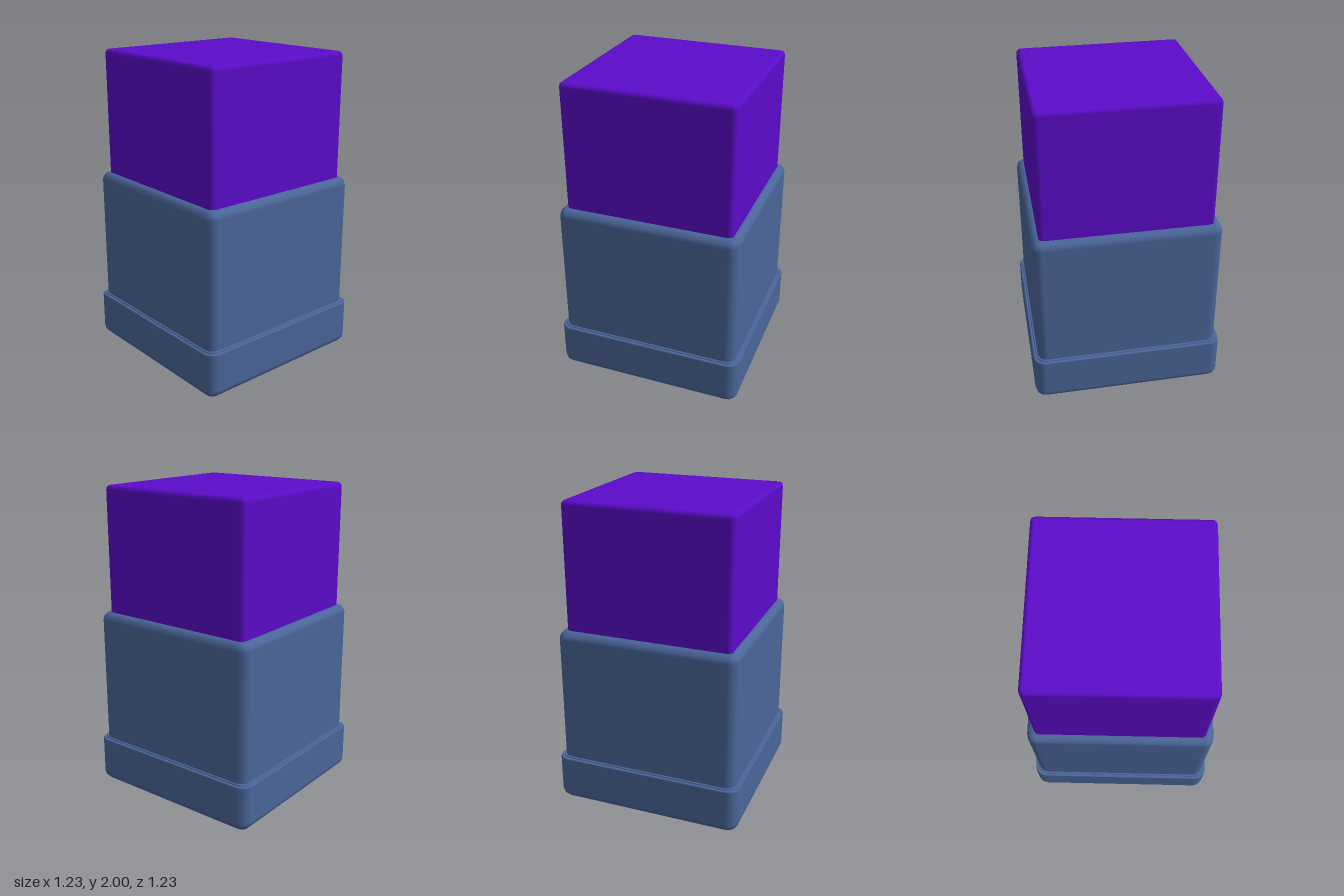
import * as THREE from 'three';

const STEPS = 3; // facets per rounded corner and bevel

// Rounded-square solid: profile rows are [inset, y, normal tilt], listed bottom to top
function squareLoft(half, radius, profile) {
  const pos = [], nor = [], index = [];
  const ring = 4 * (STEPS + 1);
  for (const [inset, y, tilt] of profile) {
    const h = half - inset, r = Math.min(h, Math.max(radius - inset, 0.005));
    for (let c = 0; c < 4; c++) {
      const mid = (c + 0.5) * Math.PI / 2;
      const cx = Math.sign(Math.cos(mid)) * (h - r), cz = Math.sign(Math.sin(mid)) * (h - r);
      for (let s = 0; s <= STEPS; s++) {
        const a = (c + s / STEPS) * Math.PI / 2;
        pos.push(cx + r * Math.cos(a), y, cz + r * Math.sin(a));
        nor.push(Math.cos(a) * Math.cos(tilt), Math.sin(tilt), Math.sin(a) * Math.cos(tilt));
      }
    }
  }
  for (let j = 0; j < profile.length - 1; j++) {
    for (let i = 0; i < ring; i++) {
      const a = j * ring + i, b = j * ring + (i + 1) % ring;
      index.push(a, a + ring, b, b, a + ring, b + ring);
    }
  }
  const g = new THREE.BufferGeometry();
  g.setAttribute('position', new THREE.Float32BufferAttribute(pos, 3));
  g.setAttribute('normal', new THREE.Float32BufferAttribute(nor, 3));
  g.setIndex(index);
  return g;
}

// Profile with a closed floor and top, each edge rounded by its own bevel
function boxProfile(half, y0, y1, bottomBevel, topBevel) {
  const q = Math.PI / 2, rows = [[half, y0, -q]];
  for (let s = 0; s <= STEPS; s++) {
    const t = -q + q * s / STEPS;
    rows.push([bottomBevel * (1 - Math.cos(t)), y0 + bottomBevel * (1 + Math.sin(t)), t]);
  }
  for (let s = 0; s <= STEPS; s++) {
    const t = q * s / STEPS;
    rows.push([topBevel * (1 - Math.cos(t)), y1 - topBevel * (1 - Math.sin(t)), t]);
  }
  rows.push([half, y1, q]);
  return rows;
}

export function createModel() {
  const group = new THREE.Group();
  const blue = new THREE.MeshStandardMaterial({ color: 0x4a6599 });
  const purple = new THREE.MeshStandardMaterial({ color: 0x5b0bc9 });

  const add = (name, material, half, radius, y0, y1, bottomBevel, topBevel) => {
    const profile = boxProfile(half, y0, y1, bottomBevel, topBevel);
    const mesh = new THREE.Mesh(squareLoft(half, radius, profile), material);
    mesh.name = name;
    group.add(mesh);
  };

  // Wide foot with a rounded underside and a nearly sharp rim
  add('base', blue, 0.617, 0.07, 0, 0.302, 0.055, 0.008);
  // Thin step between foot and body
  add('collar', blue, 0.6, 0.065, 0.295, 0.31, 0.004, 0.006);
  // Main block with a soft shoulder
  add('body', blue, 0.588, 0.06, 0.3, 1.185, 0.005, 0.052);
  // Coloured upper block
  add('cap', purple, 0.54, 0.03, 1.18, 2, 0.005, 0.028);

  return group;
}
